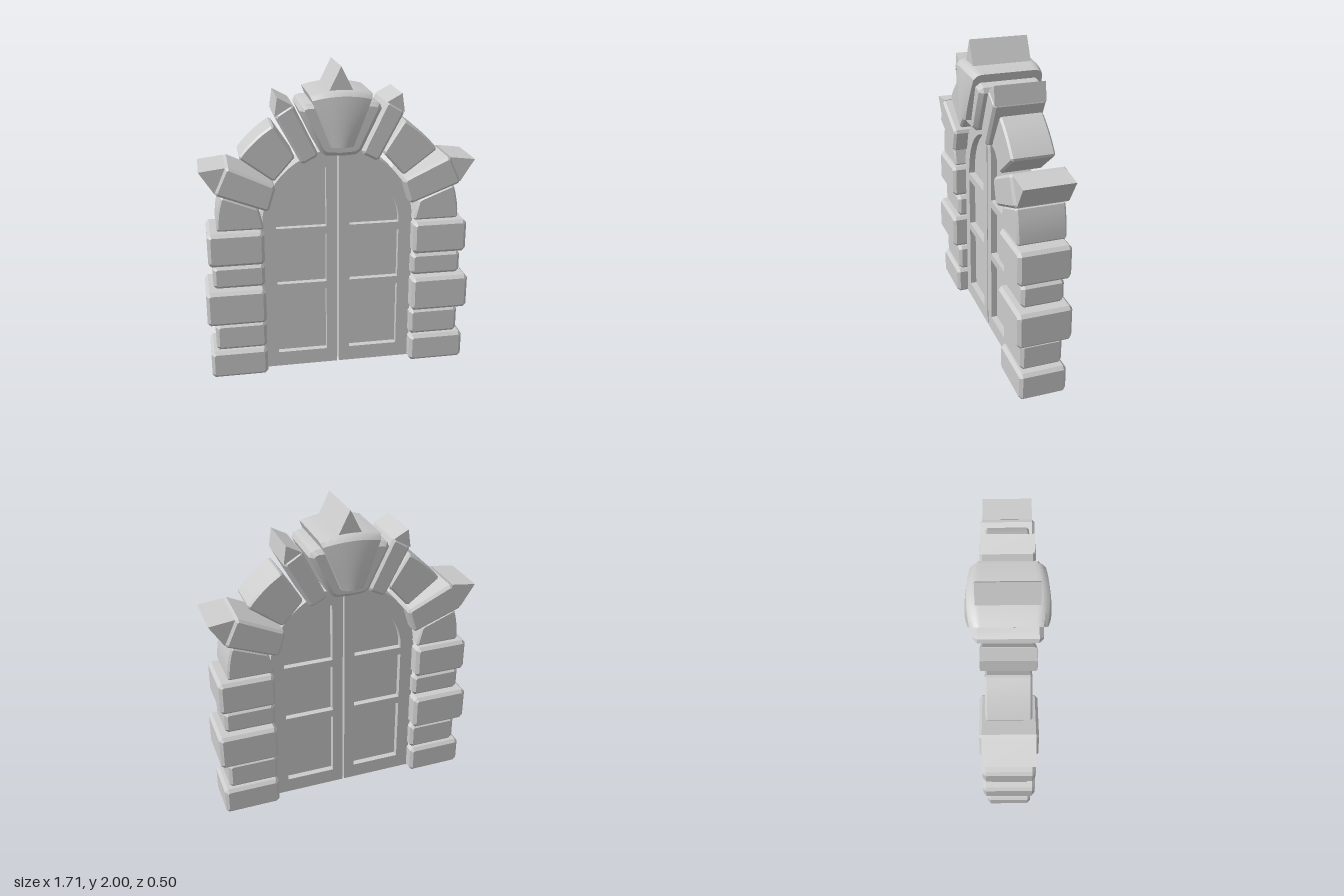
import * as THREE from 'three';
import { toCreasedNormals } from 'three/addons/utils/BufferGeometryUtils.js';

const material = new THREE.MeshStandardMaterial({ color: 0xcccccc });
const V = (x, y) => new THREE.Vector2(x, y);

function addMesh(group, name, geometry) {
  const mesh = new THREE.Mesh(geometry, material);
  mesh.name = name;
  group.add(mesh);
}

// Extrude a shape symmetrically about z = 0, chamfering its front and back rims inward
function slab(shape, halfDepth, chamfer = 0) {
  const geometry = new THREE.ExtrudeGeometry(shape, {
    depth: 2 * (halfDepth - chamfer), curveSegments: 24,
    bevelEnabled: chamfer > 0, bevelSize: chamfer, bevelThickness: chamfer,
    bevelOffset: -chamfer, bevelSegments: 1,
  });
  geometry.translate(0, 0, chamfer - halfDepth);
  return toCreasedNormals(geometry, 0.4);
}

// Cut the sharp corners of an outline, leaving its gentle curve points alone
function cutCorners(points, cut) {
  return points.flatMap((p, i) => {
    const a = points.at(i - 1).clone().sub(p).normalize();
    const b = points[(i + 1) % points.length].clone().sub(p).normalize();
    if (a.dot(b) < -0.85) return [p];
    return [p.clone().addScaledVector(a, cut), p.clone().addScaledVector(b, cut)];
  });
}

// Chamfered stone from [x, y] corners; side = -1 mirrors it
function stone(corners, halfDepth, side = 1, chamfer = 0.016) {
  const points = corners.map(([x, y]) => V(x * side, y));
  return slab(new THREE.Shape(cutCorners(points, chamfer)), halfDepth, chamfer);
}

function spike(corners, halfDepth, side = 1) {
  return slab(new THREE.Shape(corners.map(([x, y]) => V(x * side, y))), halfDepth);
}

// Points on a circle about the arch centre, angles in degrees
const arc = (radius, ...degrees) => degrees.map((d) => {
  const a = THREE.MathUtils.degToRad(d);
  return [radius * Math.cos(a), 1 + radius * Math.sin(a)];
});

const rect = (x0, y0, x1, y1) => [[x0, y0], [x1, y0], [x1, y1], [x0, y1]];

// Outline of half an arched opening, open towards the centre line
function halfArch(Type, x0, x1, y0, springY, radius) {
  const shape = new Type();
  shape.moveTo(x0, y0);
  shape.lineTo(x1, y0);
  if (springY > y0) shape.lineTo(x1, springY);
  shape.absarc(0, springY, radius, 0, Math.acos(x0 / radius), false);
  shape.closePath();
  return shape;
}

// Door leaf: framework with three openings, and a thinner panel filling them
function doorLeaf(side) {
  const leaf = new THREE.Group();
  leaf.name = side > 0 ? 'leftDoorLeaf' : 'rightDoorLeaf';
  const frame = halfArch(THREE.Shape, 0.006, 0.485, 0.01, 1, 0.48);
  for (const [y0, y1] of [[0.11, 0.55], [0.6, 0.93]]) {
    frame.holes.push(new THREE.Path(rect(0.075, y0, 0.395, y1).map(([x, y]) => V(x, y))));
  }
  frame.holes.push(halfArch(THREE.Path, 0.075, 0.395, 0.98, 0.98, 0.395));
  addMesh(leaf, 'doorFrame', slab(frame, 0.075));
  addMesh(leaf, 'doorPanel', slab(halfArch(THREE.Shape, 0.05, 0.42, 0.08, 0.98, 0.42), 0.035));
  // the outlines are symmetric in z, so a half turn mirrors the leaf
  if (side < 0) leaf.rotation.y = Math.PI;
  return leaf;
}

// Keystone: tapered block with a crowned top and bowed faces
function keystone() {
  const geometry = new THREE.BoxGeometry(2, 2, 2, 10, 8, 20);
  const p = geometry.attributes.position;
  for (let i = 0; i < p.count; i++) {
    const u = p.getX(i), t = (p.getY(i) + 1) / 2, w = p.getZ(i);
    const rim = Math.max(0, Math.abs(w) - 0.8) / 0.2;
    const top = 1.862 - 0.025 * u * u - 0.03 * rim * rim;
    const halfWidth = (0.07 + 0.12 * t) * (1 - 0.07 * rim * rim);
    p.setXYZ(i, u * halfWidth, 1.53 + (top - 1.53) * t,
      w * (0.25 - 0.02 * t ** 2) * (1 - 0.08 * u * u));
  }
  return toCreasedNormals(geometry, 0.5);
}

export function createModel() {
  const model = new THREE.Group();
  model.name = 'archedDoorway';

  // bottom, top, outer x and half depth of each pillar block
  const blocks = [
    [0, 0.185, 0.838, 0.15],
    [0.19, 0.37, 0.8, 0.132],
    [0.38, 0.61, 0.85, 0.17],
    [0.62, 0.77, 0.8, 0.132],
    [0.78, 0.995, 0.825, 0.164],
  ];

  for (const side of [1, -1]) {
    const prefix = side > 0 ? 'left' : 'right';
    model.add(doorLeaf(side));

    const pillar = new THREE.Group();
    pillar.name = prefix + 'Pillar';
    blocks.forEach(([y0, y1, x, z]) =>
      addMesh(pillar, 'pillarBlock', stone(rect(0.475, y0, x, y1), z, side, 0.02)));
    model.add(pillar);

    // arch stones from the springing up to the keystone
    const arch = new THREE.Group();
    arch.name = prefix + 'Arch';
    addMesh(arch, 'springerStone', stone(
      [[0.472, 1.01], ...arc(0.765, 0.8, 5, 9, 13, 17.8), [0.505, 1.145]], 0.15, side, 0.012));
    addMesh(arch, 'lowerProudStone', stone(
      [[0.445, 1.125], [0.77, 1.25], [0.69, 1.425], [0.395, 1.285]], 0.17, side));
    addMesh(arch, 'lowerSpike', spike([[0.765, 1.255], [0.855, 1.395], [0.695, 1.415]], 0.155, side));
    addMesh(arch, 'middleStone', stone(
      [[0.405, 1.305], ...arc(0.77, 37, 41, 45, 49, 53, 58.5), [0.272, 1.455]], 0.132, side, 0.012));
    addMesh(arch, 'upperProudStone', stone(
      [[0.13, 1.465], [0.235, 1.41], [0.397, 1.715], [0.285, 1.785]], 0.16, side));
    addMesh(arch, 'upperSpike', spike([[0.394, 1.71], [0.377, 1.825], [0.285, 1.775]], 0.155, side));
    model.add(arch);
  }

  // crown of the arch
  addMesh(model, 'keystoneBacking', stone(
    [[-0.115, 1.468], [0, 1.462], [0.115, 1.468], [0.258, 1.765], [0.2, 1.785], [-0.2, 1.785], [-0.258, 1.765]],
    0.195, 1, 0.025));
  addMesh(model, 'keystone', keystone());
  addMesh(model, 'crownSpike', spike([[-0.075, 1.85], [0.075, 1.85], [0, 2]], 0.18));

  return model;
}
